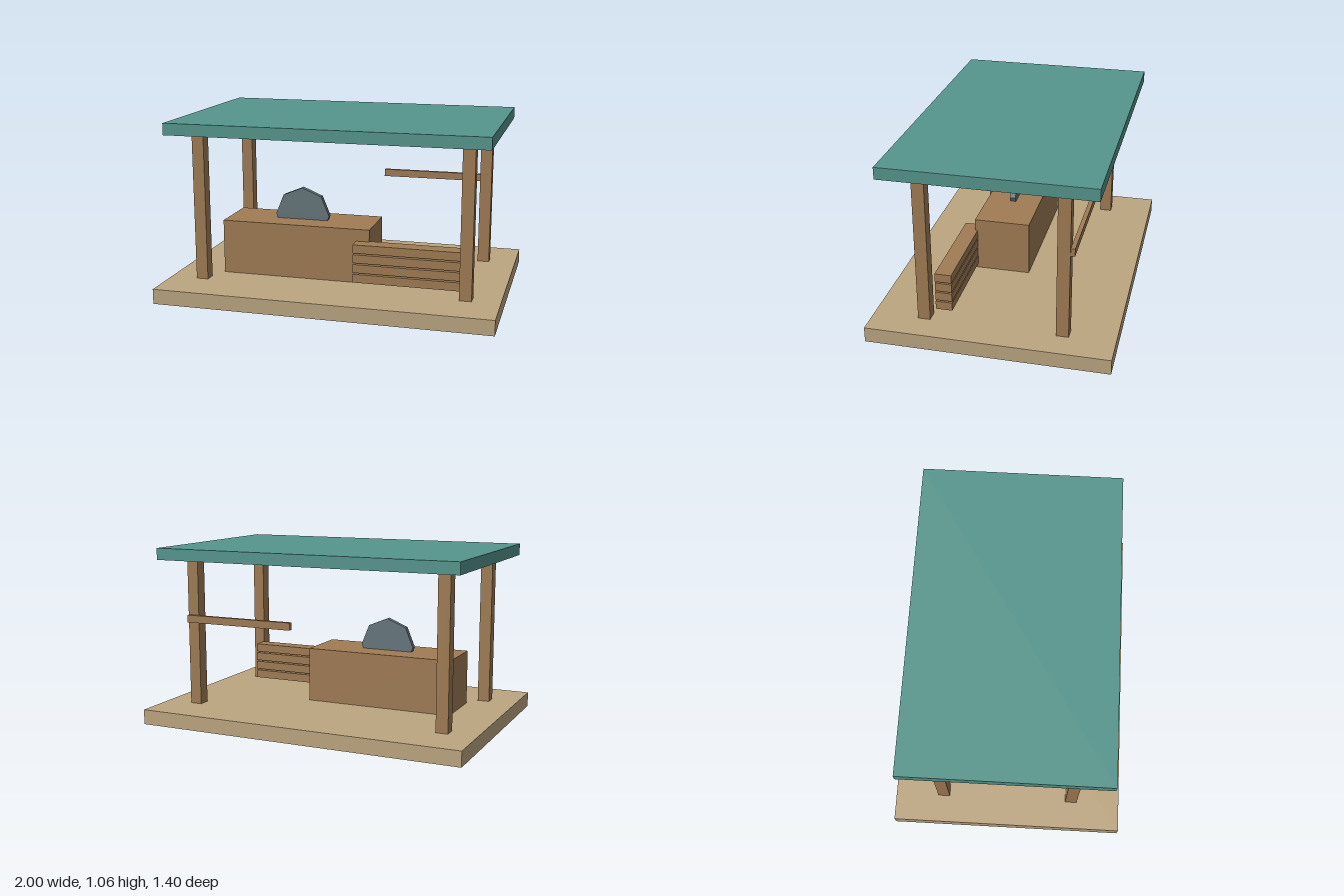
import * as THREE from 'three';

const mat = (color) => new THREE.MeshStandardMaterial({ color, flatShading: true });

export function createModel() {
  const group = new THREE.Group();
  group.name = 'sawmillShelter';
  const wood = mat(0xa07c54);
  const sand = mat(0xbca680);
  const teal = mat(0x55958d);
  const steel = mat(0x65757b);

  // Box given by its extents along each axis
  const box = (name, [x0, x1], [y0, y1], [z0, z1], material) => {
    const mesh = new THREE.Mesh(new THREE.BoxGeometry(x1 - x0, y1 - y0, z1 - z0), material);
    mesh.position.set((x0 + x1) / 2, (y0 + y1) / 2, (z0 + z1) / 2);
    mesh.name = name;
    group.add(mesh);
  };

  // Base slab and flat roof
  box('base', [-1, 1], [0, 0.09], [-0.7, 0.7], sand);
  box('roof', [-0.94, 0.94], [0.99, 1.06], [-0.6, 0.6], teal);

  // Four corner posts
  for (const x of [-0.8, 0.8])
    for (const z of [-0.4, 0.4])
      box('post', [x - 0.036, x + 0.036], [0.09, 0.99], [z - 0.036, z + 0.036], wood);

  // Saw bench
  box('bench', [-0.72, 0.2], [0.09, 0.42], [-0.067, 0.27], wood);

  // Octagonal saw blade, half sunk into the bench
  const blade = new THREE.Mesh(new THREE.CylinderGeometry(0.17, 0.17, 0.035, 8), steel);
  blade.rotation.x = Math.PI / 2;
  blade.position.set(-0.26, 0.447, 0.103);
  blade.name = 'sawBlade';
  group.add(blade);

  // Stack of planks
  for (let i = 0; i < 4; i++) {
    const y = 0.117 + i * 0.06;
    box('plank', [0.12, 0.76], [y, y + 0.051], [0.255, 0.353], wood);
  }

  // Rail fixed to the outside of a back post
  box('rail', [0.13, 0.83], [0.6, 0.645], [-0.46, -0.435], wood);

  return group;
}
